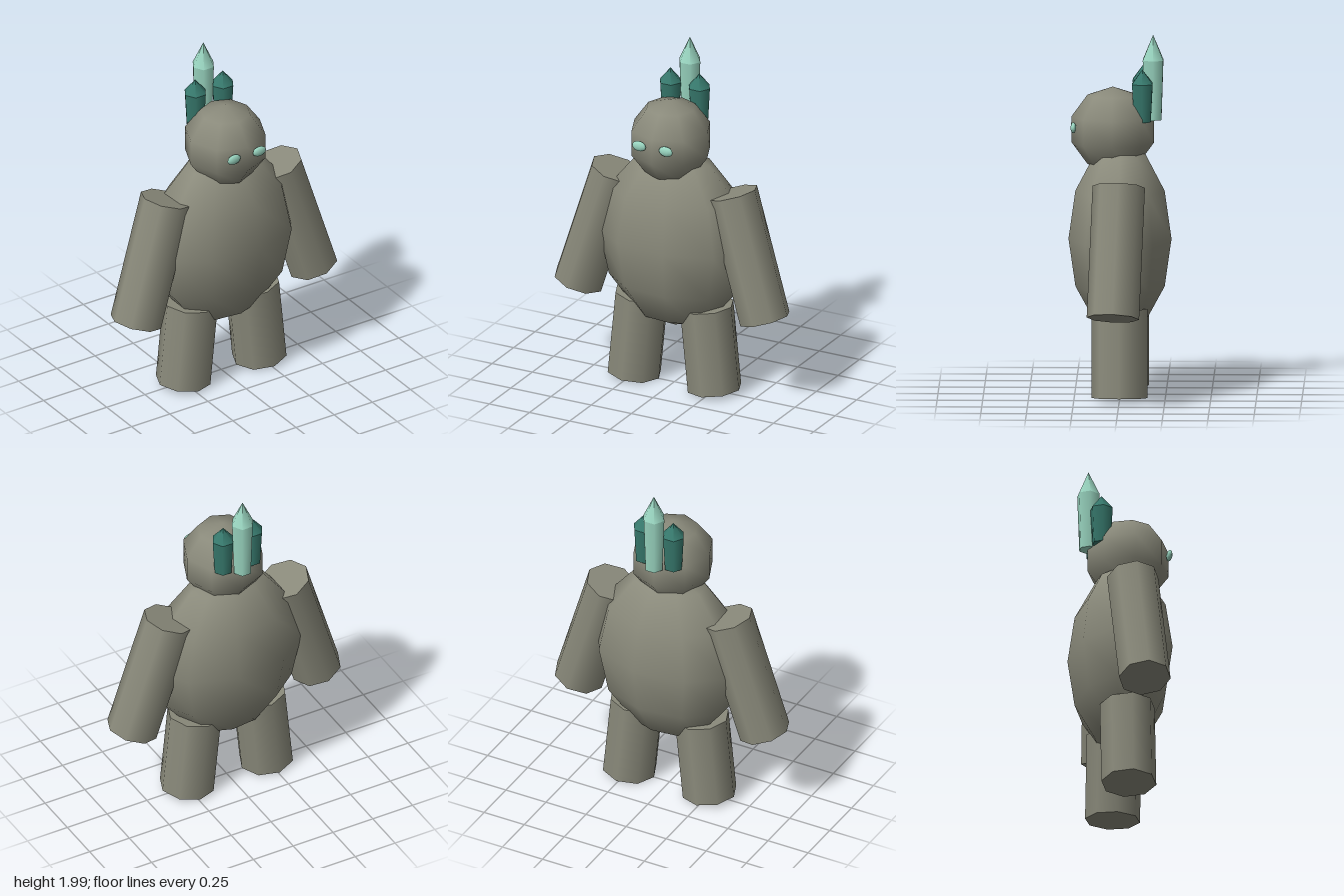
import * as THREE from 'three';

const material = (name, color) => {
  const m = new THREE.MeshStandardMaterial({ color });
  m.name = name;
  return m;
};

export function createModel() {
  const stone = material('stone', 0x8a8a7b);
  const paleCrystal = material('paleCrystal', 0x9ad6c1);
  const darkCrystal = material('darkCrystal', 0x37796d);
  const model = new THREE.Group();
  model.name = 'stoneGolem';

  const add = (parent, name, geometry, mat, x, y, z) => {
    const mesh = new THREE.Mesh(geometry, mat);
    mesh.name = name;
    mesh.position.set(x, y, z);
    parent.add(mesh);
    return mesh;
  };

  // Egg-shaped torso and round head
  const torso = new THREE.SphereGeometry(1, 9, 6).rotateY(Math.PI).scale(0.445, 0.53, 0.287);
  add(model, 'torso', torso, stone, 0, 0.88, 0);
  add(model, 'head', new THREE.SphereGeometry(0.237, 8, 5), stone, 0, 1.475, 0.041);

  // Hexagonal crystal: shaft widening upward, then a pointed tip
  const addCrystal = (name, mat, x, z, shoulderY, tipY) => {
    const baseY = 1.53;
    const crystal = new THREE.Group();
    crystal.name = name;
    crystal.position.set(x, baseY, z);
    const shaftH = shoulderY - baseY;
    const tipH = tipY - shoulderY;
    const shaft = new THREE.CylinderGeometry(0.065, 0.053, shaftH, 6).rotateY(Math.PI / 6);
    const tip = new THREE.ConeGeometry(0.065, tipH, 6, 1, true).rotateY(Math.PI / 6);
    add(crystal, 'crystalShaft', shaft, mat, 0, shaftH / 2, 0);
    add(crystal, 'crystalTip', tip, mat, 0, shaftH + tipH / 2, 0);
    model.add(crystal);
  };
  addCrystal('middleCrystal', paleCrystal, 0, -0.18, 1.86, 2);

  // Mirrored parts: left is +x
  for (const [side, s] of [['left', 1], ['right', -1]]) {
    const arm = add(model, side + 'Arm', new THREE.CylinderGeometry(0.144, 0.144, 0.732, 8),
      stone, s * 0.47, 0.86, 0.015);
    arm.rotation.set(-0.04, 0, s * 0.3);

    const leg = add(model, side + 'Leg', new THREE.CylinderGeometry(0.153, 0.153, 0.488, 8),
      stone, s * 0.225, 0.265, 0);
    leg.rotation.z = s * 0.1;

    const eye = new THREE.SphereGeometry(1, 10, 8).scale(0.043, 0.029, 0.016);
    add(model, side + 'Eye', eye, paleCrystal, s * 0.083, 1.495, 0.256);

    addCrystal(side + 'Crystal', darkCrystal, s * 0.09, -0.123, 1.74, 1.82);
  }
  return model;
}
